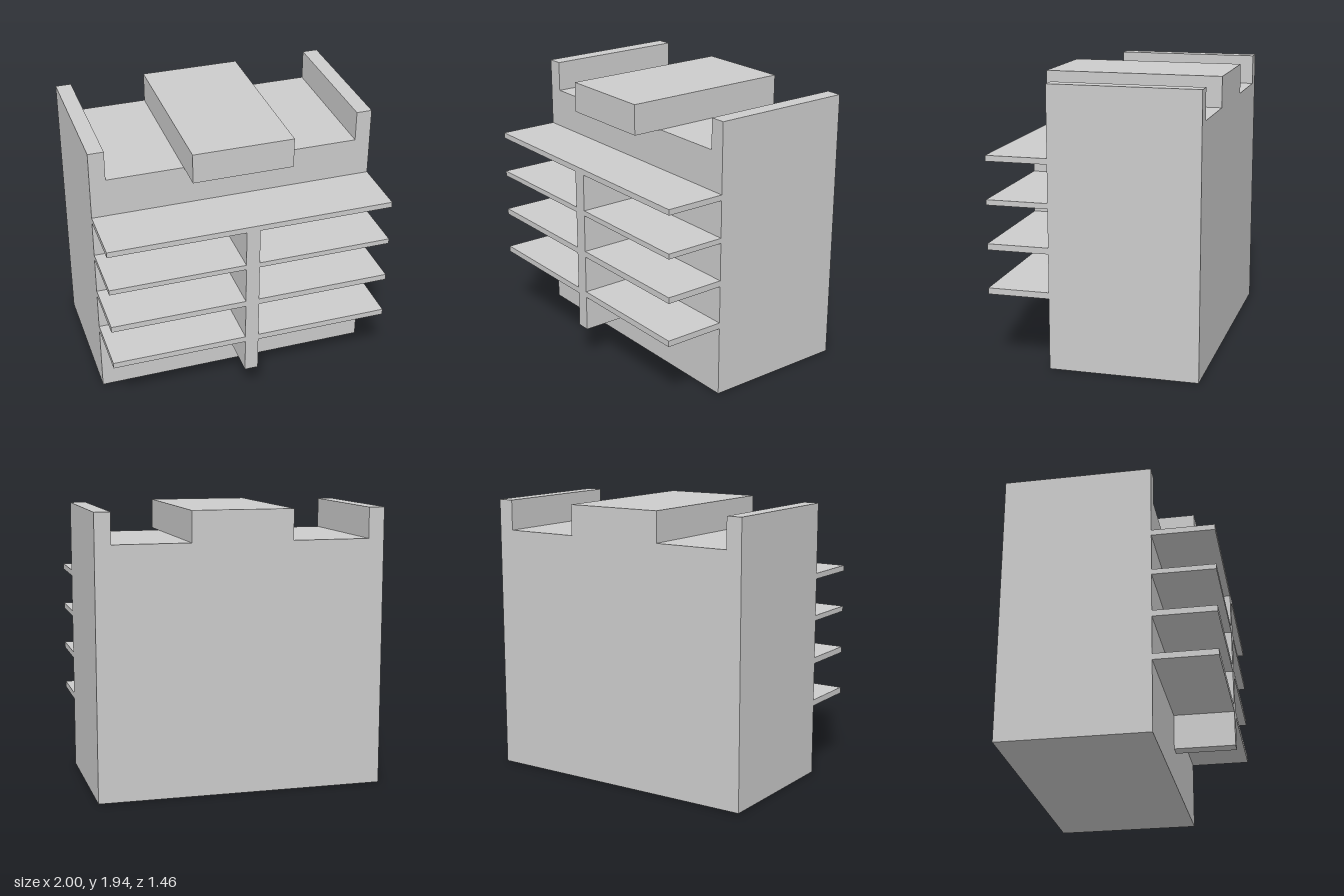
import * as THREE from 'three';

export function createModel() {
  const model = new THREE.Group();
  const material = new THREE.MeshStandardMaterial({ color: 0xcccccc, flatShading: true });
  const back = -0.73, bodyFront = 0.3, shelfFront = 0.73;

  const add = (name, geometry) => {
    const mesh = new THREE.Mesh(geometry, material);
    mesh.name = name;
    model.add(mesh);
  };
  // Box given by its lower and upper bounds on each axis
  const box = (name, [x0, x1], [y0, y1], [z0, z1]) => add(name,
    new THREE.BoxGeometry(x1 - x0, y1 - y0, z1 - z0)
      .translate((x0 + x1) / 2, (y0 + y1) / 2, (z0 + z1) / 2));

  // Solid body with side rails and a raised centre block along its top
  const top = 1.943, deck = 1.73, rail = 0.89, block = 0.353;
  const half = [[1, 0], [1, top], [rail, top], [rail, deck], [block, deck], [block, top]];
  const mirrored = half.map(([x, y]) => [-x, y]).reverse();
  const profile = new THREE.Shape([...half, ...mirrored].map(([x, y]) => new THREE.Vector2(x, y)));
  add('body', new THREE.ExtrudeGeometry(profile, { depth: bodyFront - back, bevelEnabled: false })
    .translate(0, 0, back));

  // Centre block reaching out past the front of the body
  box('blockOverhang', [-block, block], [deck, top], [bodyFront, 0.515]);

  // Shelves, and the upright between them in sections
  const shelves = [[0.495, 0.538], [0.805, 0.848], [1.115, 1.152], [1.413, 1.453]];
  let postBottom = 0.243;
  for (const [y0, y1] of shelves) {
    box('shelf', [-1, 1], [y0, y1], [bodyFront, shelfFront]);
    box('centrePost', [-0.048, 0.048], [postBottom, y0], [bodyFront, shelfFront]);
    postBottom = y1;
  }
  return model;
}
